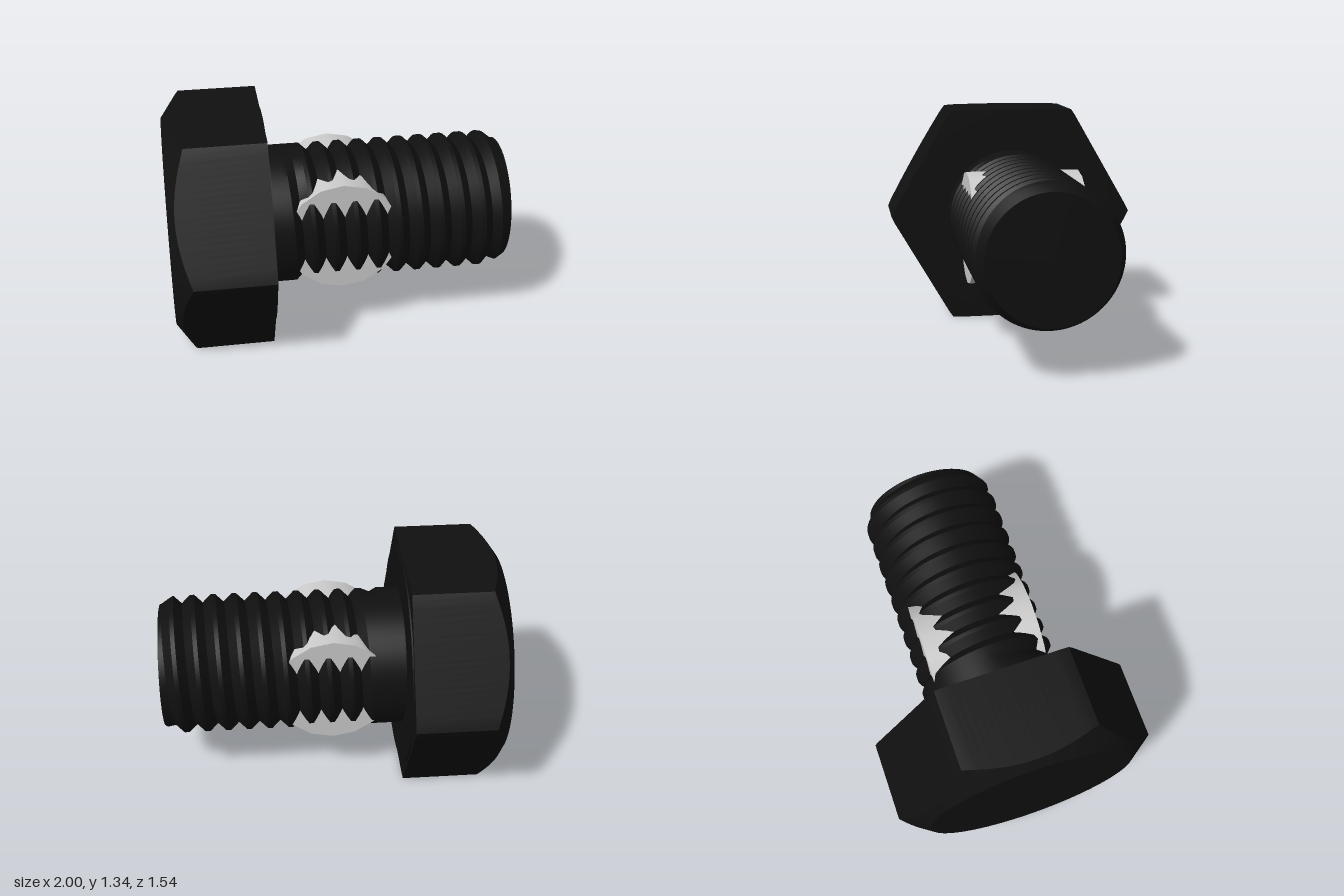
import * as THREE from 'three';
import { toCreasedNormals } from 'three/addons/utils/BufferGeometryUtils.js';

const AXIS_Y = 0.672;      // height of the bolt axis, which runs along x
const APOTHEM = 0.672;     // half the width across the head's flats
const CREST = 0.413, ROOT = 0.365, PITCH = 0.125;
const HEAD_UNDER = -0.42, TIP = 1, THREAD_START = -0.265;

// Skin a surface around the x axis; section(t, i) gives [x, radius] at angle t
function loft(columns, segments, section) {
  const positions = [], index = [];
  for (let j = 0; j <= segments; j++) {
    const t = (j / segments) * Math.PI * 2;
    for (let i = 0; i < columns; i++) {
      const [x, r] = section(t, i);
      positions.push(x, r * Math.cos(t), r * Math.sin(t));
    }
  }
  for (let j = 0; j < segments; j++) {
    for (let i = 0; i < columns - 1; i++) {
      const a = j * columns + i, b = a + columns;
      index.push(a, b, a + 1, b, b + 1, a + 1);
    }
  }
  const geometry = new THREE.BufferGeometry();
  geometry.setAttribute('position', new THREE.Float32BufferAttribute(positions, 3));
  geometry.setIndex(index);
  return toCreasedNormals(geometry, 0.4);
}

// Hexagonal head with a conical chamfer outside and a round washer face inside
function headSection(t, i) {
  const sector = Math.PI / 3;
  const rel = ((t + sector / 2) % sector) - sector / 2;
  const hex = Math.min(APOTHEM / Math.cos(rel), 0.772);
  const chamferX = -1 + (hex - 0.615) * 0.71;
  return [
    [-1, 0], [-1, 0.615], [chamferX, hex], [HEAD_UNDER - 0.008, hex],
    [HEAD_UNDER - 0.008, 0.65], [HEAD_UNDER, 0.65], [HEAD_UNDER, 0],
  ][i];
}

// Right-handed helical thread: each turn has a groove bottom and a narrow flat crest
const TURN_OFFSETS = [0, 0.05, 0.075];
function shankSection(t, i) {
  const turn = Math.floor(i / 3) - 3, step = i % 3;
  const lead = PITCH * (turn + t / (Math.PI * 2));
  const groove = THREE.MathUtils.clamp(lead / 0.02, 0, 1);   // run-out into the plain shank
  const x = THREE.MathUtils.clamp(THREAD_START + lead + TURN_OFFSETS[step], HEAD_UNDER - 0.01, TIP);
  const r = step === 0 ? CREST - (CREST - ROOT) * groove : CREST;
  return [x, Math.min(r, ROOT + (TIP - x) * 0.6)];           // tip chamfer
}

export function createModel() {
  const model = new THREE.Group();
  const black = new THREE.MeshStandardMaterial({ color: 0x101010 });
  const grey = new THREE.MeshStandardMaterial({ color: 0xcccccc });

  function add(name, geometry, material) {
    const mesh = new THREE.Mesh(geometry, material);
    mesh.name = name;
    mesh.position.y = AXIS_Y;
    model.add(mesh);
    return mesh;
  }

  add('hexHead', loft(7, 120, headSection), black);
  add('threadedShank', loft(16 * 3, 72, shankSection), black);

  // Flat end of the shank
  const tip = add('shankTip', new THREE.CircleGeometry(ROOT, 72), black);
  tip.rotation.y = Math.PI / 2;
  tip.position.x = TIP;

  // Short cross pin through the shank, showing only at its rims
  const pin = add('crossPin', new THREE.CylinderGeometry(0.34, 0.34, 0.68, 16), grey);
  pin.rotation.x = Math.PI / 2;

  return model;
}
